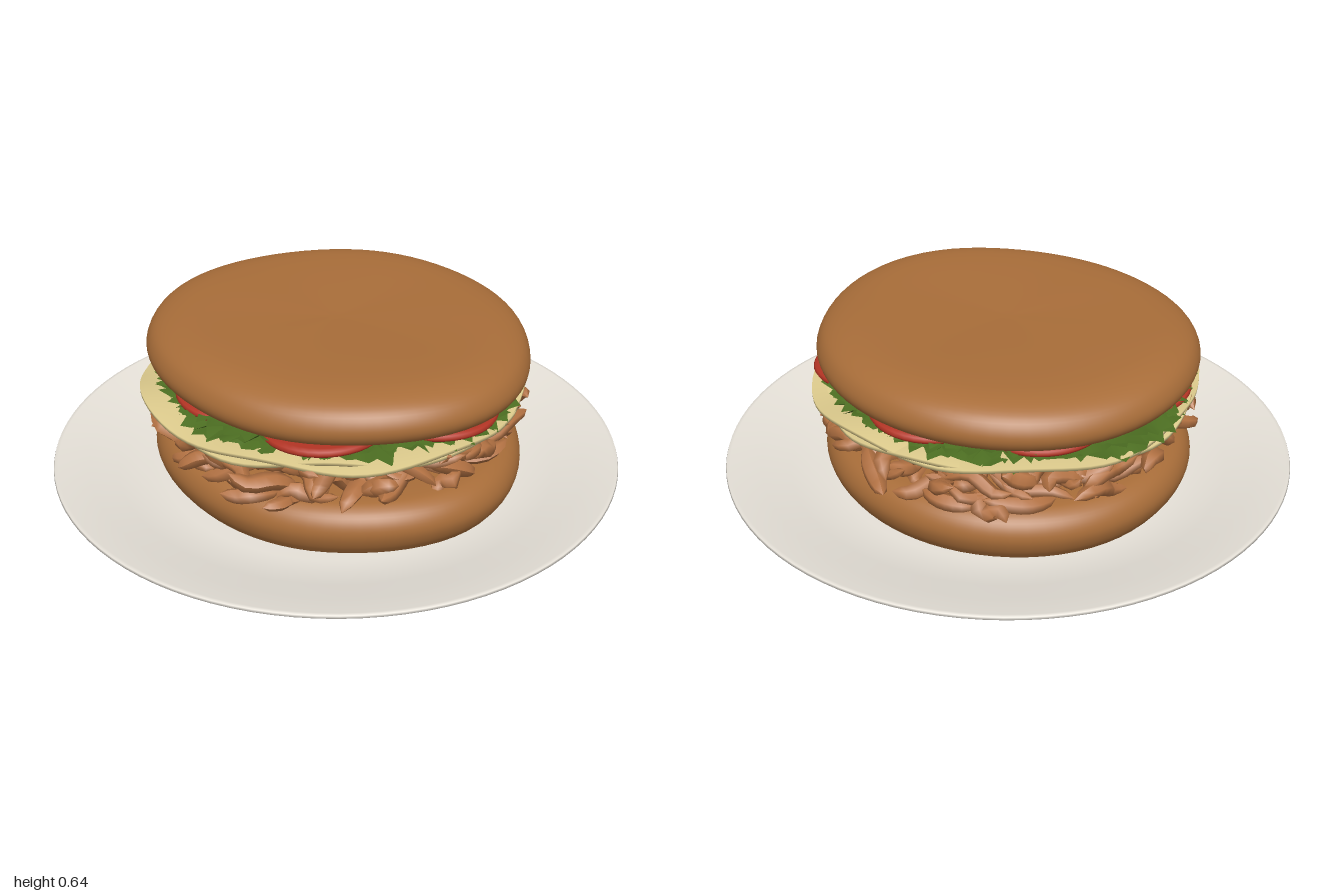
import * as THREE from 'three';
import { mergeGeometries, mergeVertices } from 'three/addons/utils/BufferGeometryUtils.js';

const mat = (name, color, side = THREE.FrontSide) => {
  const m = new THREE.MeshStandardMaterial({ color, side });
  m.name = name;
  return m;
};

// Seeded random numbers
let seed = 7;
const rnd = () => {
  seed = (seed * 16807) % 2147483647;
  return seed / 2147483647;
};
const range = (a, b) => a + (b - a) * rnd();

// Uneven bun outline: radius at every 45 degrees from +x towards +z
const RADII = [0.70, 0.645, 0.62, 0.655, 0.68, 0.67, 0.65, 0.66];
function outline(angle) {
  const t = ((angle / (Math.PI * 2)) % 1 + 1) % 1 * 8;
  const i = Math.floor(t), f = t - i;
  const r = k => RADII[(i + k + 8) % 8];
  const m0 = (r(1) - r(-1)) / 2, m1 = (r(2) - r(0)) / 2;
  const a = f * f * f, b = f * f;
  return (2 * a - 3 * b + 1) * r(0) + (a - 2 * b + f) * m0 + (3 * b - 2 * a) * r(1) + (a - b) * m1;
}

// Lathe whose vertices are then moved by rule(position, angle, radius)
function turned(profile, segments, rule, smooth = 0) {
  let pts = profile.map(p => new THREE.Vector2(p[0], p[1]));
  if (smooth) {
    pts = new THREE.SplineCurve(pts).getPoints(smooth);
    pts.forEach(p => { p.x = Math.max(p.x, 0); });
  }
  let g = new THREE.LatheGeometry(pts, segments);
  if (rule) {
    const pos = g.attributes.position, v = new THREE.Vector3();
    for (let i = 0; i < pos.count; i++) {
      v.fromBufferAttribute(pos, i);
      rule(v, Math.atan2(v.z, v.x), Math.hypot(v.x, v.z));
      pos.setXYZ(i, v.x, v.y, v.z);
    }
    g.deleteAttribute('uv');
    g.deleteAttribute('normal');
    g = mergeVertices(g, 1e-5);
    g.computeVertexNormals();
  }
  return g;
}

// One pork shred: a bent tube tapered to both ends
function shred(angle, radius, y) {
  const length = range(0.13, 0.27), turn = range(-0.9, 0.9), tilt = range(-0.45, 0.45);
  const a = angle + Math.PI / 2 + turn;
  const dir = new THREE.Vector3(Math.cos(a) * Math.cos(tilt), Math.sin(tilt), Math.sin(a) * Math.cos(tilt));
  const mid = new THREE.Vector3(Math.cos(angle) * radius, y, Math.sin(angle) * radius);
  const pts = [-0.5, -0.17, 0.17, 0.5].map(s => {
    const p = mid.clone().addScaledVector(dir, s * length);
    p.add(new THREE.Vector3(range(-1, 1), range(-1, 1), range(-1, 1)).multiplyScalar(0.025));
    const r = Math.hypot(p.x, p.z), k = Math.min(1, 0.67 / r);
    return p.set(p.x * k, THREE.MathUtils.clamp(p.y, 0.235, 0.405), p.z * k);
  });
  const curve = new THREE.CatmullRomCurve3(pts);
  const steps = 8, sides = 6, g = new THREE.TubeGeometry(curve, steps, range(0.024, 0.038), sides);
  const pos = g.attributes.position, v = new THREE.Vector3();
  for (let i = 0; i < pos.count; i++) {
    const t = Math.floor(i / (sides + 1)) / steps;
    const c = curve.getPointAt(t);
    v.fromBufferAttribute(pos, i).sub(c);
    v.multiplyScalar(Math.pow(Math.max(0, Math.sin(Math.PI * t)), 0.45));
    v.y *= 0.8;
    v.add(c);
    pos.setXYZ(i, v.x, v.y, v.z);
  }
  g.computeVertexNormals();
  return g;
}

export function createModel() {
  const model = new THREE.Group();
  const white = mat('plate white', 0xe6e1d8);
  const brown = mat('bun brown', 0xa86d39);
  const meat = mat('pork brown', 0xb27142);
  const cream = mat('cheese cream', 0xdcca8c);
  const green = mat('lettuce green', 0x4d6f22, THREE.DoubleSide);
  const red = mat('tomato red', 0xb33424);
  const add = (name, geometry, material) => {
    const mesh = new THREE.Mesh(geometry, material);
    mesh.name = name;
    model.add(mesh);
    return mesh;
  };

  // Plate with a foot ring and a sloping rim
  add('plate', turned([
    [0, 0.014], [0.49, 0.014], [0.505, 0.01], [0.515, 0.002], [0.53, 0], [0.542, 0.006], [0.55, 0.024],
    [0.565, 0.032], [0.7, 0.036], [0.76, 0.048], [0.9, 0.09], [0.985, 0.119], [1, 0.128], [0.997, 0.136],
    [0.985, 0.137], [0.88, 0.112], [0.78, 0.082], [0.7, 0.063], [0.62, 0.055], [0, 0.055],
  ], 96), white);

  // Bun halves
  const shape = (size, bump) => (v, a, r) => {
    const k = 1 + (outline(a) * size - 1);
    v.x *= k;
    v.z *= k;
    v.y += bump * r * r * Math.sin(3 * a + 0.6) + bump * 0.5 * r * Math.sin(5 * a);
  };
  add('bottomBun', turned([
    [0, 0.056], [0.5, 0.056], [0.88, 0.062], [0.96, 0.09], [1, 0.15], [0.985, 0.2], [0.93, 0.235],
    [0.83, 0.248], [0.5, 0.247], [0, 0.24],
  ], 72, shape(0.985, 0.003), 40), brown);
  add('topBun', turned([
    [0, 0.482], [0.5, 0.482], [0.86, 0.478], [0.95, 0.487], [0.995, 0.52], [0.995, 0.56], [0.95, 0.602],
    [0.85, 0.629], [0.7, 0.638], [0.4, 0.636], [0, 0.628],
  ], 72, shape(1, 0.004), 44), brown);

  // Pulled pork: a dense outer ring and a looser core
  const shreds = [];
  for (let i = 0; i < 150; i++) shreds.push(shred(i * 2.39996, range(0.48, 0.63), range(0.255, 0.385)));
  for (let i = 0; i < 70; i++) shreds.push(shred(i * 2.39996, range(0.08, 0.48), range(0.26, 0.38)));
  add('pulledPork', mergeGeometries(shreds), meat);

  // Two thin wavy cheese slices
  [[0.67, 0.424, 0.4], [0.645, 0.41, 2.3]].forEach(([radius, y, phase], i) => {
    const h = 0.006;
    const p = [[0, -h], [0.25, -h], [0.45, -h], [0.58, -h], [radius, -h], [radius, h], [0.58, h], [0.45, h], [0.25, h], [0, h]];
    const g = turned(p, 96, (v, a, r) => {
      const q = r / radius;
      const k = 1 + 0.025 * q * Math.sin(4 * a + phase);
      v.x *= k;
      v.z *= k;
      v.y += y + q * q * (0.013 * Math.sin(7 * a + phase) + 0.007 * Math.sin(4 * a + 2 * phase));
    });
    add('cheeseSlice' + (i + 1), g, cream);
  });

  // Ruffled lettuce with a toothed edge that pokes out at two places
  const bulge = (a, at, width) => {
    const d = Math.atan2(Math.sin(a - at), Math.cos(a - at)) / width;
    return Math.exp(-d * d);
  };
  [0.442, 0.455, 0.468].forEach((y, layer) => {
    const teeth = Array.from({ length: 120 }, (_, i) => (i % 2 ? 1 : -1) * range(0.005, 0.028));
    const lift = teeth.map(() => range(-0.016, 0.016));
    const g = turned([[0, 0], [0.5, 0], [0.8, 0], [0.92, 0], [1, 0]], 120, (v, a, r) => {
      const i = Math.round((a / (Math.PI * 2)) * 120 + 120) % 120;
      const edge = r > 0.99 ? 1 : 0;
      const out = outline(a) * (0.955 - 0.01 * layer) + 0.045 * bulge(a, Math.PI, 0.35) + 0.04 * bulge(a, 1.4, 0.3);
      const k = out + edge * teeth[i];
      v.x *= k;
      v.z *= k;
      v.y = y + r * r * 0.012 * Math.sin(11 * a + layer * 2) + edge * lift[i];
    });
    add('lettuceLeaf' + (layer + 1), g, green);
  });

  // Tomato slices in a ring
  const slice = turned([
    [0, -0.015], [0.19, -0.015], [0.205, -0.009], [0.21, 0], [0.205, 0.009], [0.19, 0.015], [0, 0.015],
  ], 40);
  [47, 96, 155, 207, 255, 306, 0].forEach((deg, i) => {
    const a = THREE.MathUtils.degToRad(deg);
    const r = outline(a) - (i === 0 || i === 5 ? 0.195 : 0.225);
    const t = add('tomatoSlice' + (i + 1), slice, red);
    t.position.set(Math.cos(a) * r, 0.469 + 0.004 * (i % 2), Math.sin(a) * r);
    t.rotation.set(0.03 * Math.sin(i * 2), 0, 0.03 * Math.cos(i * 3));
  });

  return model;
}
